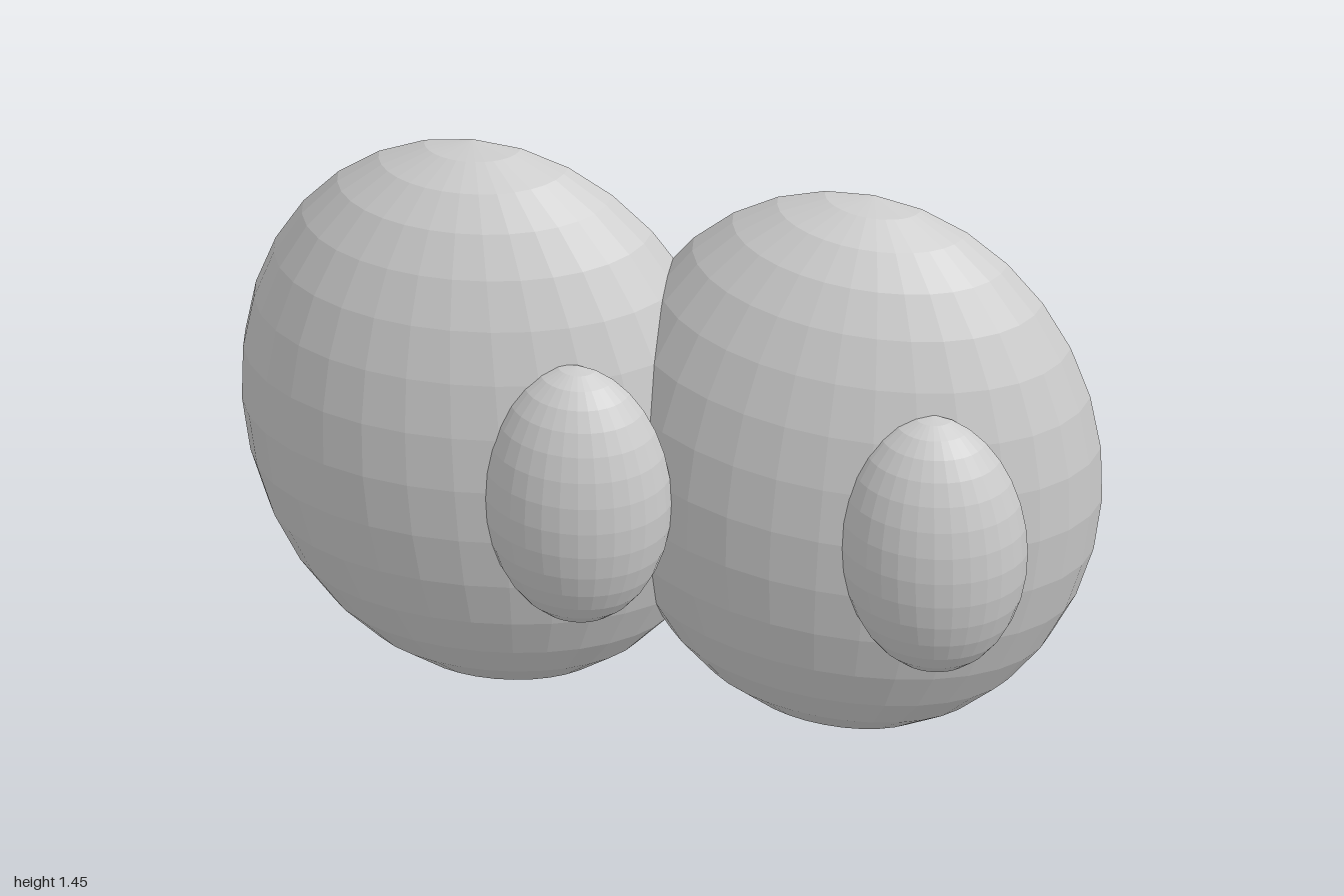
import * as THREE from 'three';
import { mergeGeometries } from 'three/addons/utils/BufferGeometryUtils.js';

const material = new THREE.MeshStandardMaterial({ color: 0xcccccc, flatShading: true });

// Front half of a sphere, closed by a flat disc at the back
function halfDome() {
  const dome = new THREE.SphereGeometry(1, 16, 16, 0, Math.PI);
  const back = new THREE.CircleGeometry(1, 32).rotateY(Math.PI);
  return mergeGeometries([dome, back]);
}

function addDome(group, geometry, name, position, radii, tilt = 0) {
  const mesh = new THREE.Mesh(geometry, material);
  mesh.name = name;
  mesh.position.set(...position);
  mesh.scale.set(...radii);
  mesh.rotation.z = tilt;
  group.add(mesh);
}

export function createModel() {
  const model = new THREE.Group();
  model.name = 'eyes';
  const dome = halfDome();

  for (const side of [-1, 1]) {
    const label = side > 0 ? 'left' : 'right';
    // Eyeball, its top leaning slightly outward
    addDome(model, dome, label + 'Eyeball', [side * 0.424, 0.729, -0.225], [0.576, 0.727, 0.36], -side * 0.06);
    // Pupil, both shifted towards the model's left
    addDome(model, dome, label + 'Pupil', [0.257 + side * 0.415, 0.72, 0.05], [0.22, 0.348, 0.175]);
  }
  return model;
}
